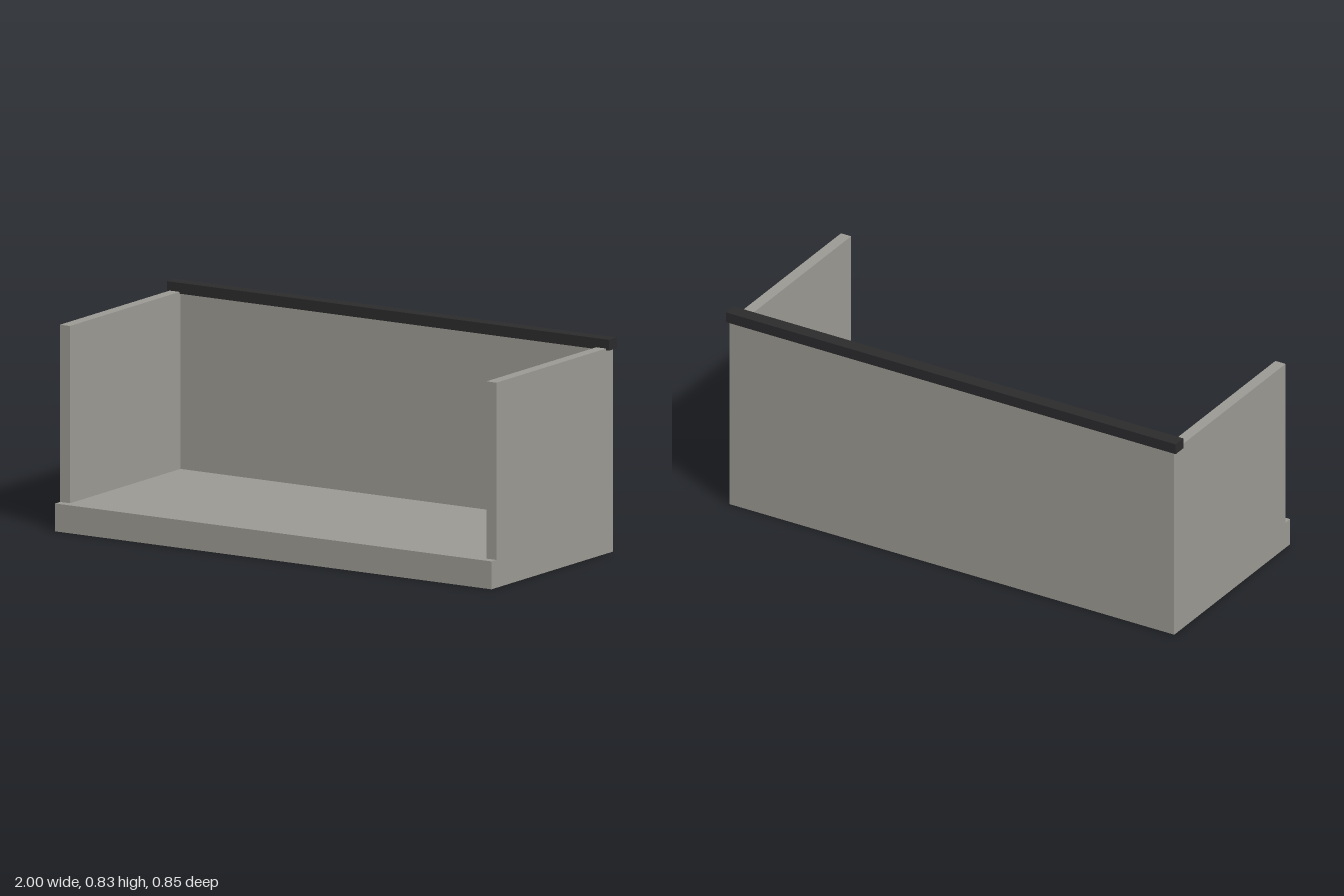
import * as THREE from 'three';

export function createModel() {
  const group = new THREE.Group();
  const stone = new THREE.MeshStandardMaterial({ color: 0x9c9a93 });
  stone.name = 'warm grey panel';
  const dark = new THREE.MeshStandardMaterial({ color: 0x2b2b2d });
  dark.name = 'dark trim';

  // Box given by its minimum and maximum corners
  function block(name, material, [x0, y0, z0], [x1, y1, z1]) {
    const mesh = new THREE.Mesh(new THREE.BoxGeometry(x1 - x0, y1 - y0, z1 - z0), material);
    mesh.position.set((x0 + x1) / 2, (y0 + y1) / 2, (z0 + z1) / 2);
    mesh.name = name;
    group.add(mesh);
  }

  const half = 0.988, inner = 0.943, floorTop = 0.108, wallTop = 0.794;
  const back = -0.416, backInner = -0.374;

  // Floor slab, projecting slightly in front of the walls
  block('floorSlab', stone, [-half, 0, back], [half, floorTop, 0.425]);

  // Back wall between the two side walls
  block('backWall', stone, [-inner, floorTop, back], [inner, wallTop, backInner]);

  // Side walls
  block('leftWall', stone, [inner, floorTop, back], [half, wallTop, 0.391]);
  block('rightWall', stone, [-half, floorTop, back], [-inner, wallTop, 0.391]);

  // Capping rail over the back wall
  block('topRail', dark, [-1, 0.787, -0.425], [1, 0.829, -0.369]);

  return group;
}
